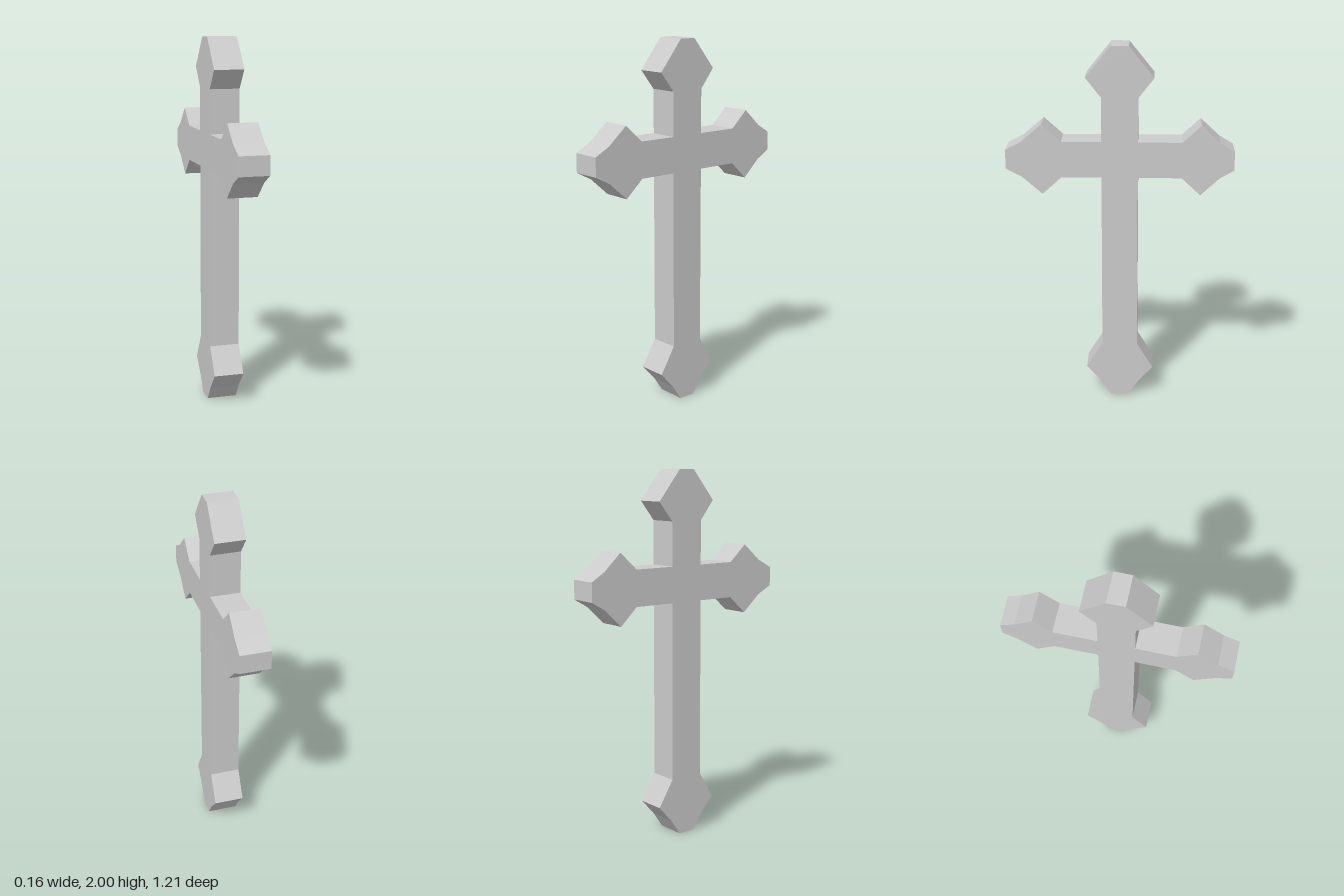
import * as THREE from 'three';

// Half outline of the cross as [z, y], from the top down to the foot
const backSide = [
  [-0.047, 2], [-0.18, 1.835], [-0.097, 1.73], [-0.097, 1.492],            // upper tip
  [-0.33, 1.492], [-0.43, 1.585], [-0.53, 1.492], [-0.607, 1.445],         // arm, upper edge
  [-0.607, 1.342], [-0.53, 1.297], [-0.43, 1.203], [-0.33, 1.297],         // arm, lower edge
  [-0.097, 1.297], [-0.097, 0.32], [-0.185, 0.175], [-0.103, 0.083], [-0.047, 0], // shaft and foot
];
// The front arm flares slightly nearer the shaft
const frontArm = { 0.33: 0.31, 0.43: 0.413, 0.53: 0.52 };
const frontSide = backSide.map(([z, y]) => [frontArm[-z] ?? -z, y]).reverse();

export function createModel() {
  const group = new THREE.Group();
  group.name = 'cross';

  const thickness = 0.164;
  const outline = new THREE.Shape(
    [...backSide, ...frontSide].map(([z, y]) => new THREE.Vector2(z, y)));
  const geometry = new THREE.ExtrudeGeometry(outline, { depth: thickness, bevelEnabled: false });
  geometry.translate(0, 0, -thickness / 2);
  geometry.rotateY(-Math.PI / 2); // outline runs along z, thickness along x

  const body = new THREE.Mesh(
    geometry,
    new THREE.MeshStandardMaterial({ color: 0xcccccc, flatShading: true }));
  body.name = 'crossBody';
  group.add(body);
  return group;
}
